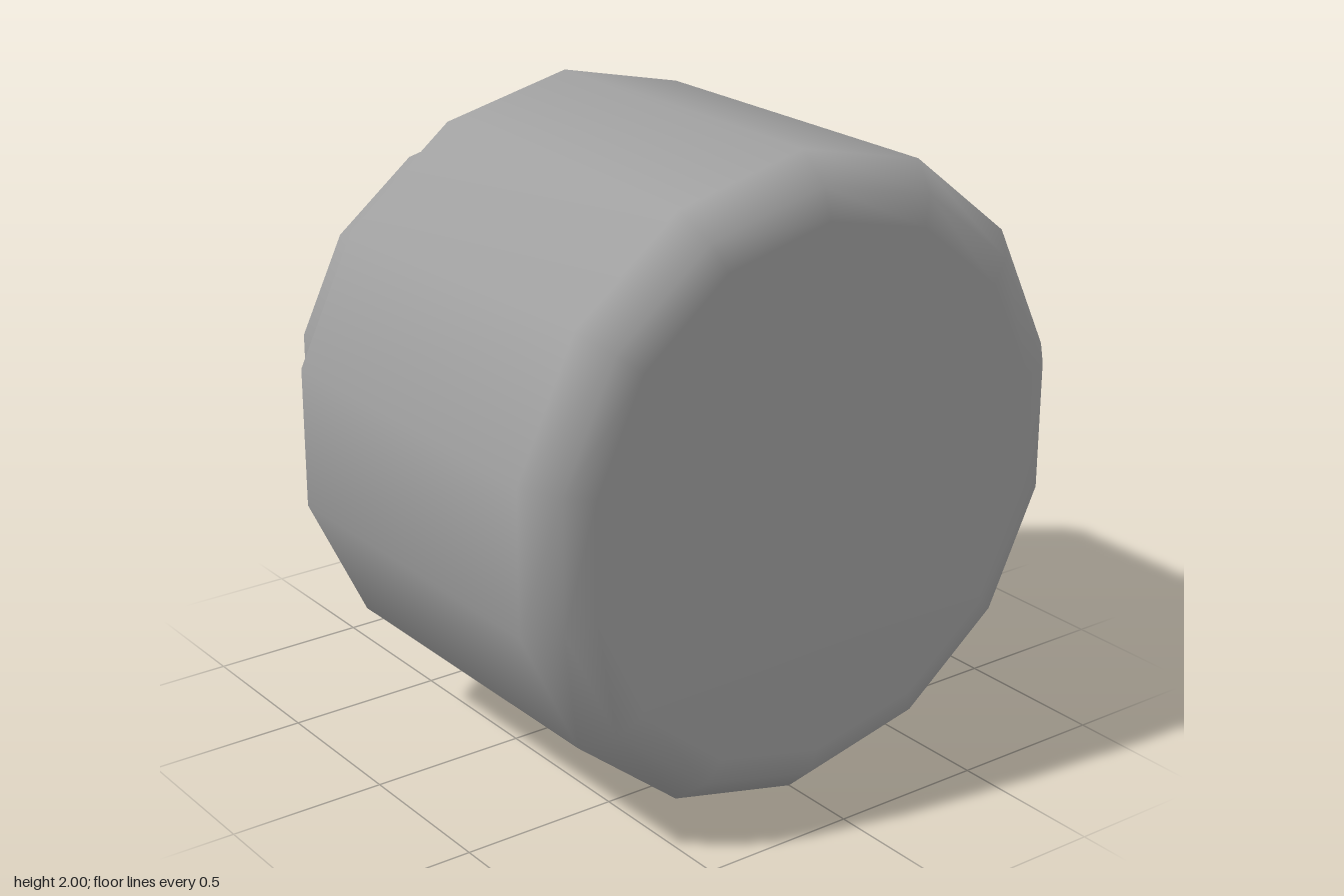
import * as THREE from 'three';

const SIDES = 14;

// Smooth surface of revolution around z; points are [radius, z], from back to front.
function turned(name, points, material) {
  const geometry = new THREE.LatheGeometry(points.map(([r, z]) => new THREE.Vector2(r, z)), SIDES);
  geometry.rotateX(Math.PI / 2);
  const mesh = new THREE.Mesh(geometry, material);
  mesh.name = name;
  return mesh;
}

export function createModel() {
  const model = new THREE.Group();
  model.name = 'jar';
  const grey = new THREE.MeshStandardMaterial({ color: 0xa0a0a0 });
  grey.name = 'grey';

  // Lid, with a flat end, a bevelled rim and a narrow lip
  const lid = new THREE.Group();
  lid.name = 'lid';
  lid.add(
    turned('lidEnd', [[0, -0.87], [0.67, -0.87]], grey),
    turned('lidRim', [[0.67, -0.87], [0.76, -0.81], [0.76, -0.65]], grey),
    turned('lidLip', [[0.76, -0.65], [0.725, -0.65]], grey)
  );

  // Neck between the lid and the body
  const neck = turned('neck', [[0.725, -0.65], [0.725, -0.56]], grey);

  // Body with a sloped shoulder and a rounded, closed base
  const body = turned('body', [
    [0.725, -0.56], [0.913, -0.505], [1, -0.41],
    [1, 0.745], [0.913, 0.84], [0.82, 0.87], [0, 0.87],
  ], grey);

  const jar = new THREE.Group();
  jar.name = 'lyingJar';
  jar.add(lid, neck, body);
  jar.position.y = 1;
  model.add(jar);
  return model;
}
